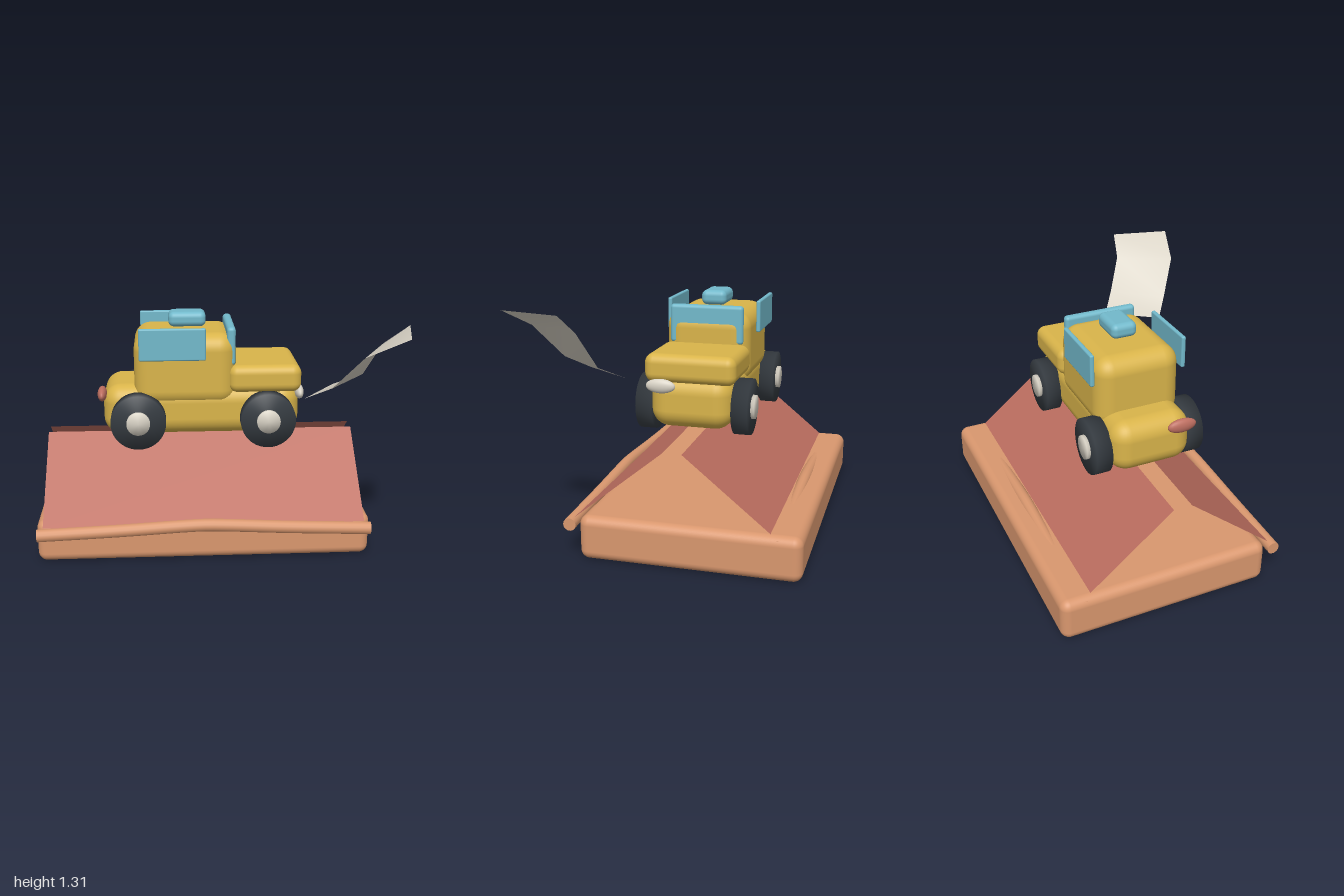
import * as THREE from 'three';
import { mergeVertices } from 'three/addons/utils/BufferGeometryUtils.js';
import { RoundedBoxGeometry } from 'three/addons/geometries/RoundedBoxGeometry.js';

const mat = (name, color, side = THREE.FrontSide) => {
  const m = new THREE.MeshStandardMaterial({ color, side });
  m.name = name;
  return m;
};

export function createModel() {
  const yellow = mat('yellow paint', 0xd9b44a);
  const tan = mat('tan clay', 0xd9976e);
  const red = mat('brick red', 0xbd6e60, THREE.DoubleSide);
  const blue = mat('sky blue', 0x72b9cb);
  const black = mat('tyre black', 0x363c42);
  const ivory = mat('ivory', 0xd9d3c6, THREE.DoubleSide);

  const model = new THREE.Group();
  const car = new THREE.Group();
  car.name = 'car';
  model.add(car);

  const add = (parent, name, geo, material, pos = [0, 0, 0]) => {
    const mesh = new THREE.Mesh(geo, material);
    mesh.name = name;
    mesh.position.set(...pos);
    parent.add(mesh);
    return mesh;
  };

  // Rounded box given by its extents on each axis
  const block = (parent, name, material, [x0, x1], [y0, y1], [z0, z1], r) =>
    add(parent, name, new RoundedBoxGeometry(x1 - x0, y1 - y0, z1 - z0, 5, r), material,
      [(x0 + x1) / 2, (y0 + y1) / 2, (z0 + z1) / 2]);

  // Open strip of quads between two edges
  const sheet = (name, material, edgeA, edgeB) => {
    const points = [];
    const index = [];
    edgeA.forEach((a, i) => {
      points.push(...a, ...edgeB[i]);
      if (i) {
        const k = 2 * i;
        index.push(k - 2, k - 1, k, k - 1, k + 1, k);
      }
    });
    const geo = new THREE.BufferGeometry();
    geo.setAttribute('position', new THREE.Float32BufferAttribute(points, 3));
    geo.setIndex(index);
    geo.computeVertexNormals();
    return add(model, name, geo, material);
  };

  // Wheel cylinder with shading that flows softly over the rim
  const softDisc = (r, width) => {
    let geo = new THREE.CylinderGeometry(r, r, width, 40);
    geo.deleteAttribute('uv');
    geo.deleteAttribute('normal');
    geo = mergeVertices(geo);
    geo.computeVertexNormals();
    return geo.rotateX(Math.PI / 2);
  };

  // Base slab and the two bent rods along its long edges
  block(model, 'base', tan, [-1, 0.84], [0, 0.24], [-0.75, 0.42], 0.05);
  for (const [name, z] of [['frontRod', 0.47], ['backRod', -0.62]]) {
    const path = new THREE.CatmullRomCurve3([
      [-0.99, 0.187], [-0.53, 0.206], [-0.2, 0.224], [-0.08, 0.228],
      [0.04, 0.224], [0.37, 0.206], [0.83, 0.187],
    ].map(([x, y]) => new THREE.Vector3(x, y, z)));
    add(model, name, new THREE.TubeGeometry(path, 40, 0.035, 14), tan);
    for (const [end, turn] of [[0, -1], [1, 1]]) {
      const p = path.getPoint(end);
      add(model, name + 'End', new THREE.CircleGeometry(0.035, 14), tan,
        [p.x, p.y, p.z]).rotation.y = turn * Math.PI / 2;
    }
  }

  // Two sloping ramp panels with a gap at the ridge
  sheet('frontRamp', red, [[-0.96, 0.61, -0.03], [0.8, 0.61, -0.03]],
    [[-0.96, 0.22, 0.45], [0.8, 0.22, 0.45]]);
  sheet('backRamp', red, [[-0.96, 0.235, -0.59], [0.8, 0.235, -0.59]],
    [[-0.96, 0.61, -0.13], [0.8, 0.61, -0.13]]);

  // Car body
  const cz = -0.073;
  const across = (half) => [cz - half, cz + half];
  block(car, 'chassis', yellow, [-0.63, 0.47], [0.63, 0.92], across(0.225), 0.1);
  block(car, 'cabin', yellow, [-0.455, 0.113], [0.8, 1.21], across(0.238), 0.095);
  block(car, 'hood', yellow, [0.07, 0.475], [0.88, 1.035], across(0.248), 0.05);

  // Windows and roof hatch
  block(car, 'windshield', blue, [0.06, 0.108], [1.03, 1.245], across(0.207), 0.02);
  block(car, 'roofHatch', blue, [-0.26, -0.05], [1.222, 1.305], across(0.072), 0.032);
  for (const s of [1, -1]) {
    const z = cz + s * 0.258;
    block(car, 'sideWindow', blue, [-0.425, -0.06], [1.077, 1.255], [z - 0.012, z + 0.012], 0.009);
  }

  // Wheels with pale hubs
  for (const x of [-0.435, 0.285]) {
    for (const s of [1, -1]) {
      add(car, 'wheel', softDisc(0.153, 0.088), black, [x, 0.738, cz + s * 0.262]);
      add(car, 'hub', softDisc(0.065, 0.04), ivory, [x, 0.738, cz + s * 0.305]);
    }
  }

  // Oval lamps
  const lamp = new THREE.SphereGeometry(1, 24, 16).scale(0.026, 0.039, 0.081);
  add(car, 'headlight', lamp, ivory, [0.47, 0.867, 0.08]);
  add(car, 'tailLight', lamp, red, [-0.636, 0.867, 0.075]);

  // Curling paper sheet
  sheet('paper', ivory,
    [[0.64, 0.94, 0.205], [0.78, 1.02, 0.305], [0.86, 1.205, 0.385], [0.99, 1.31, 0.42]],
    [[0.44, 0.94, 0.48], [0.565, 1.02, 0.575], [0.7, 1.205, 0.69], [0.91, 1.31, 0.75]]);

  return model;
}
